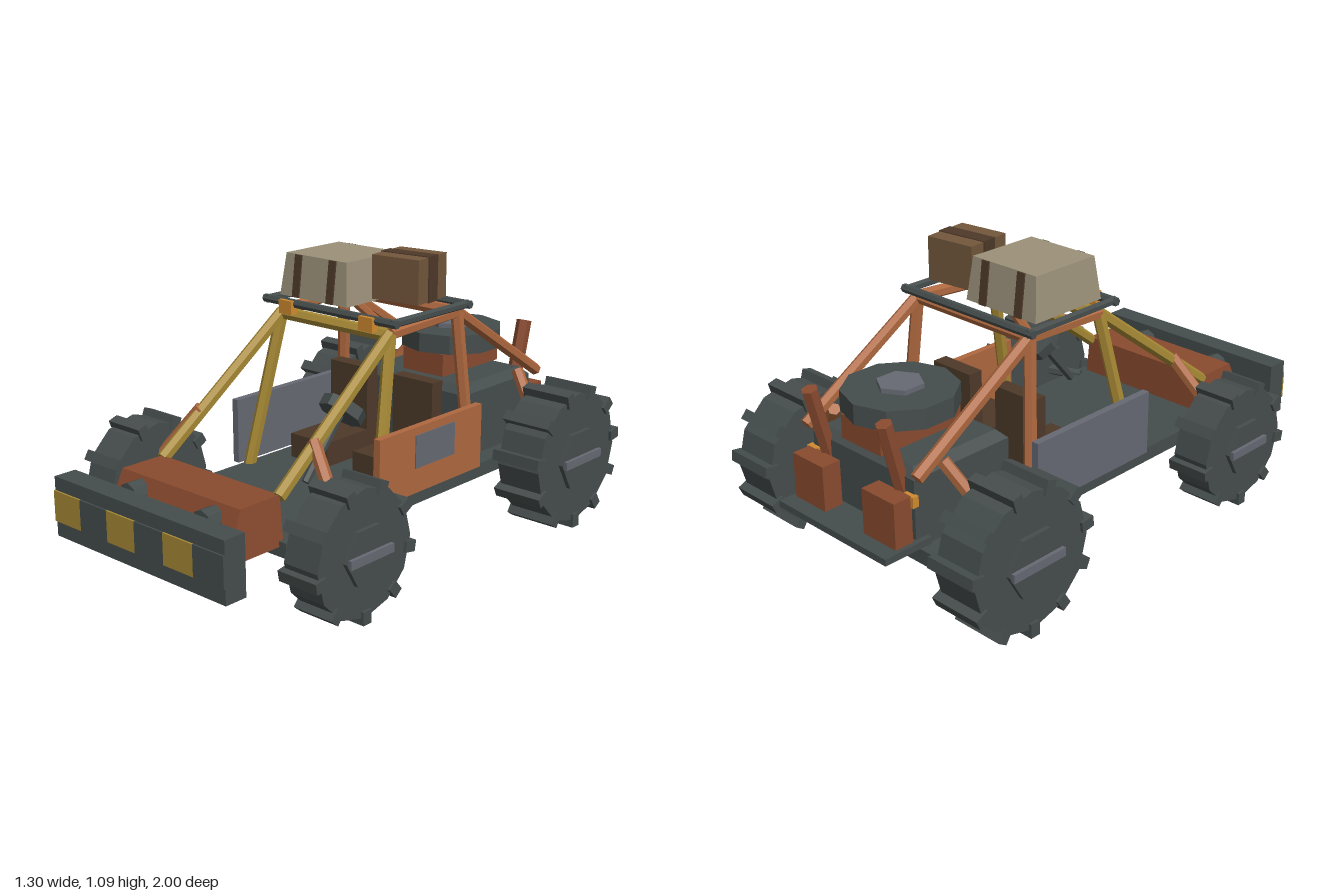
import * as THREE from 'three';

export function createModel() {
  const root = new THREE.Group();
  root.name = 'buggy';
  const paint = (name, color) => {
    const m = new THREE.MeshStandardMaterial({ color, flatShading: true });
    m.name = name;
    return m;
  };
  const dark = paint('dark metal', 0x454d4c);
  const orange = paint('orange paint', 0xae683f);
  const rust = paint('rust paint', 0x8a4b2f);
  const yellow = paint('yellow paint', 0xa88a35);
  const amber = paint('amber', 0xd08a2f);
  const steel = paint('steel', 0x666973);
  const canvas = paint('canvas', 0x9c917a);
  const brown = paint('crate brown', 0x73573b);
  const leather = paint('dark leather', 0x4d3929);

  const add = (name, geo, mat, parent = root) => {
    const m = new THREE.Mesh(geo, mat);
    m.name = name;
    parent.add(m);
    return m;
  };
  // Box given by its minimum and maximum on each axis
  const box = (name, mat, x0, x1, y0, y1, z0, z1, parent) => {
    const m = add(name, new THREE.BoxGeometry(x1 - x0, y1 - y0, z1 - z0), mat, parent);
    m.position.set((x0 + x1) / 2, (y0 + y1) / 2, (z0 + z1) / 2);
    return m;
  };
  // Box whose top face is scaled by sx, sz
  const taper = (geo, sx, sz) => {
    const p = geo.attributes.position;
    for (let i = 0; i < p.count; i++)
      if (p.getY(i) > 0) p.setXYZ(i, p.getX(i) * sx, p.getY(i), p.getZ(i) * sz);
    return geo;
  };
  // Straight tube between two points
  const bar = (name, mat, a, b, r = 0.024, sides = 6) => {
    const A = new THREE.Vector3(...a), B = new THREE.Vector3(...b);
    const d = B.clone().sub(A);
    const m = add(name, new THREE.CylinderGeometry(r, r, d.length(), sides), mat);
    m.position.copy(A).add(B).multiplyScalar(0.5);
    m.quaternion.setFromUnitVectors(new THREE.Vector3(0, 1, 0), d.normalize());
    return m;
  };

  // Chassis, rear shelf and engine block
  box('floorPan', dark, -0.34, 0.34, 0.2, 0.255, -0.84, 0.64);
  box('rearShelf', dark, -0.28, 0.28, 0.265, 0.29, -1, -0.8);
  box('engineBlock', dark, -0.26, 0.26, 0.25, 0.51, -0.85, -0.42);
  add('engineLid', taper(new THREE.BoxGeometry(0.52, 0.03, 0.43), 0.87, 0.87), dark).position.set(0, 0.525, -0.635);
  box('intake', rust, -0.1, 0.1, 0.54, 0.63, -0.85, -0.49);
  add('airFilter', new THREE.CylinderGeometry(0.205, 0.205, 0.075, 10), dark).position.set(0, 0.668, -0.67);
  add('filterCap', new THREE.CylinderGeometry(0.085, 0.085, 0.018, 6), steel).position.set(0, 0.714, -0.67);

  // Sloped hood, extruded across the width and narrowed at the top
  const side = new THREE.Shape([[-0.62, 0.235], [-0.62, 0.41], [-0.8, 0.41], [-0.87, 0.235]]
    .map(([u, v]) => new THREE.Vector2(u, v)));
  const hood = new THREE.ExtrudeGeometry(side, { depth: 0.62, bevelEnabled: false });
  hood.translate(0, 0, -0.31).rotateY(Math.PI / 2);
  const hp = hood.attributes.position;
  for (let i = 0; i < hp.count; i++) if (hp.getY(i) > 0.3) hp.setX(i, hp.getX(i) * 0.95);
  add('hood', hood, rust);

  // Front blade with painted stripes
  box('frontBlade', dark, -0.425, 0.425, 0.18, 0.4, 0.905, 0.993);
  for (let i = 0; i < 6; i++) {
    const x = -0.425 + i * 0.1417;
    box('bladeStripe', i % 2 ? dark : yellow, x, x + 0.1417, 0.237, 0.35, 0.992, 1);
  }

  // Wheels: tyre, hexagonal hub, cross bar and lugs
  const wheel = (name, s, y, z, r, x0, x1, lugs) => {
    const g = new THREE.Group();
    g.name = name;
    g.position.set(s * (x0 + x1) / 2, y, z);
    root.add(g);
    const w = x1 - x0;
    add('tyre', new THREE.CylinderGeometry(r, r, w, 12).rotateZ(Math.PI / 2), dark, g);
    add('hub', new THREE.CylinderGeometry(r * 0.48, r * 0.48, w + 0.035, 6).rotateZ(Math.PI / 2), dark, g);
    const h = r * 0.46, e = s * (w / 2 + 0.02);
    box('hubBar', steel, Math.min(e, e + s * 0.014), Math.max(e, e + s * 0.014), -0.016, 0.016, -h, h, g);
    for (let i = 0; i < lugs; i++) {
      const a = i / lugs * Math.PI * 2;
      const lug = add('lug', new THREE.BoxGeometry(w + 0.022, y - r + 0.03, 0.04), dark, g);
      const d = (y + r - 0.03) / 2;
      lug.position.set(0, -Math.cos(a) * d, -Math.sin(a) * d);
      lug.rotation.x = a;
    }
  };

  for (const s of [-1, 1]) {
    wheel('frontWheel', s, 0.248, 0.515, 0.229, 0.433, 0.58, 9);
    wheel('rearWheel', s, 0.281, -0.67, 0.257, 0.435, 0.618, 11);

    // Suspension
    bar('frontStrut', orange, [s * 0.28, 0.55, 0.44], [s * 0.44, 0.35, 0.5]);
    bar('rearStrut', orange, [s * 0.28, 0.55, -0.74], [s * 0.44, 0.35, -0.67]);
    bar('frontArm', dark, [s * 0.3, 0.25, 0.57], [s * 0.45, 0.26, 0.5], 0.022);
    bar('rearArm', dark, [s * 0.3, 0.25, -0.6], [s * 0.45, 0.28, -0.66], 0.022);

    // Roll cage sides
    bar('frontStay', yellow, [s * 0.29, 0.4, 0.62], [s * 0.265, 0.84, 0.03]);
    bar('frontPillar', yellow, [s * 0.325, 0.24, 0.16], [s * 0.265, 0.84, 0.03]);
    bar('roofRail', orange, [s * 0.265, 0.84, 0.03], [s * 0.28, 0.86, -0.335]);
    bar('rearPillar', orange, [s * 0.325, 0.25, -0.38], [s * 0.28, 0.86, -0.335]);
    bar('rearStay', orange, [s * 0.28, 0.86, -0.335], [s * 0.285, 0.53, -0.86]);
    box('stayFoot', amber, s * 0.25 - 0.025, s * 0.25 + 0.025, 0.42, 0.46, -0.87, -0.845);

    // Exhaust box and stack
    box('exhaustBox', rust, s * 0.182 - 0.08, s * 0.182 + 0.08, 0.285, 0.46, -0.94, -0.865);
    bar('exhaustStack', rust, [s * 0.19, 0.45, -0.84], [s * 0.19, 0.71, -0.905], 0.03);

    // Headlights, blade arms and roof lamps
    bar('headlight', dark, [s * 0.185, 0.355, 0.79], [s * 0.185, 0.355, 0.87], 0.045, 8);
    bar('bladeArm', dark, [s * 0.28, 0.295, 0.82], [s * 0.28, 0.295, 0.91], 0.02);
    box('roofLamp', amber, s * 0.197 - 0.032, s * 0.197 + 0.032, 0.848, 0.9, 0.055, 0.085);

    // Seats
    box('seatBack', leather, s * 0.16 - 0.095, s * 0.16 + 0.095, 0.26, 0.6, -0.29, -0.23);
    box('seatCushion', leather, s * 0.16 - 0.095, s * 0.16 + 0.095, 0.25, 0.35, -0.24, 0);

    // Doors: painted on the left, bare steel on the right
    box('door', s > 0 ? orange : steel, s * 0.355 - 0.014, s * 0.355 + 0.014, 0.26, 0.51, -0.387, 0.2);

    // Luggage rack side rails
    bar('rackSideRail', dark, [s * 0.305, 0.888, -0.37], [s * 0.305, 0.888, 0.07], 0.016);
  }
  box('doorPatch', steel, 0.367, 0.373, 0.355, 0.48, -0.22, 0.005);

  // Roll cage cross members and rack ends
  bar('frontCrossbar', yellow, [-0.265, 0.835, 0.03], [0.265, 0.835, 0.03]);
  bar('rearCrossbar', orange, [-0.28, 0.86, -0.335], [0.28, 0.86, -0.335]);
  bar('roofBrace', orange, [-0.27, 0.855, -0.32], [0.265, 0.84, 0.02], 0.018);
  for (const z of [-0.36, 0.06]) bar('rackEndRail', dark, [-0.325, 0.888, z], [0.325, 0.888, z], 0.016);

  // Steering column and wheel
  bar('steeringColumn', dark, [0.165, 0.35, 0.36], [0.165, 0.56, 0.18], 0.016);
  bar('steeringWheel', dark, [0.165, 0.555, 0.182], [0.165, 0.588, 0.152], 0.085, 8);

  // Canvas bundle with straps on its front and back
  const bundle = new THREE.Group();
  bundle.name = 'canvasBundle';
  bundle.position.set(-0.115, 0.98, -0.143);
  root.add(bundle);
  add('bundleBody', taper(new THREE.BoxGeometry(0.335, 0.16, 0.33), 0.9, 0.88), canvas, bundle);
  for (const x of [-0.085, 0.085])
    add('bundleStrap', taper(new THREE.BoxGeometry(0.034, 0.158, 0.342), 1, 0.885), leather, bundle).position.x = x;

  // Turned crate with a strap over it
  const crate = new THREE.Group();
  crate.name = 'crate';
  crate.position.set(0.167, 1.002, -0.193);
  crate.rotation.y = 0.12;
  root.add(crate);
  add('crateBody', new THREE.BoxGeometry(0.2, 0.164, 0.19), brown, crate);
  add('crateStrap', new THREE.BoxGeometry(0.208, 0.17, 0.06), leather, crate);
  return root;
}
